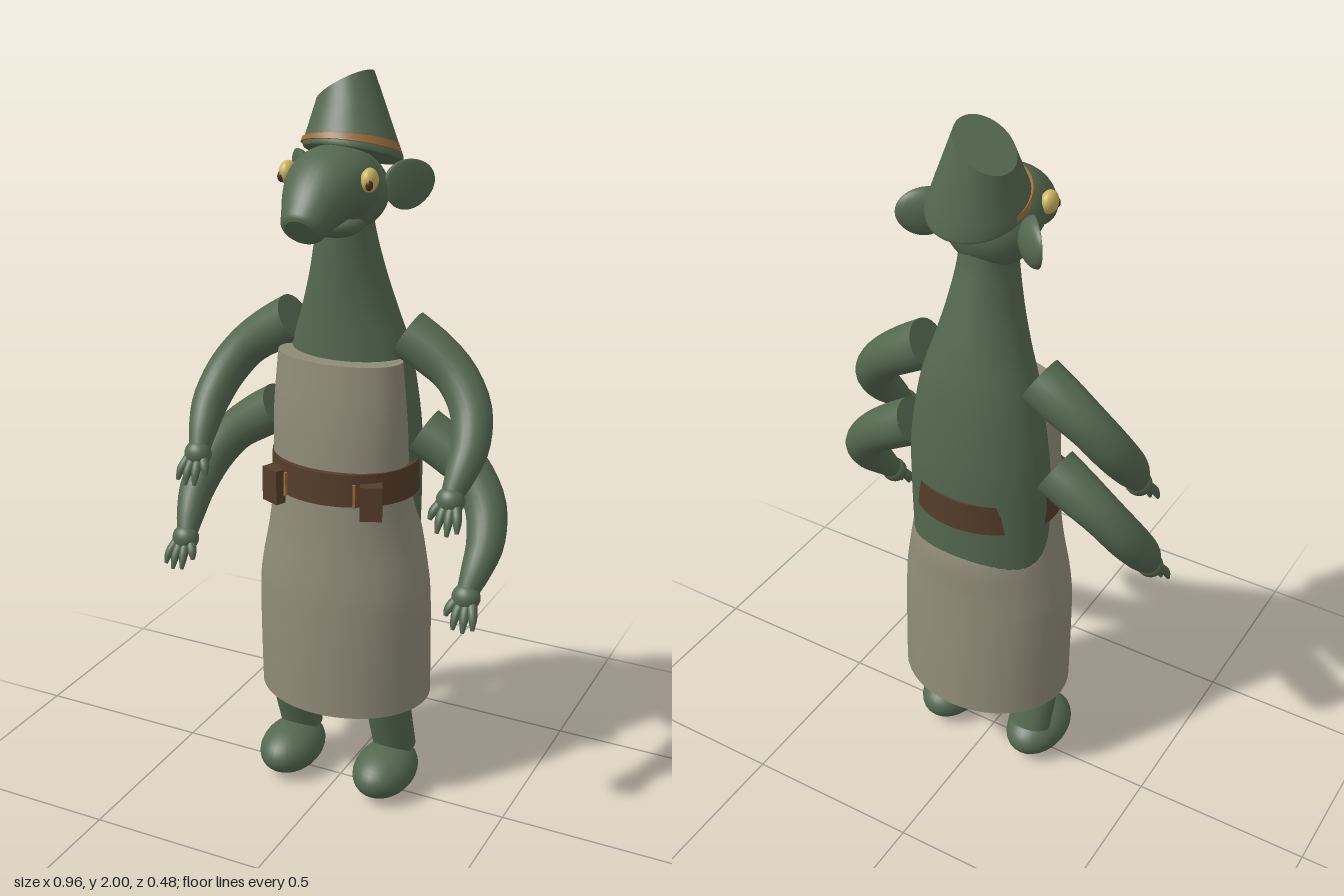
import * as THREE from 'three';

const mat = (name, color) => {
  const m = new THREE.MeshStandardMaterial({ color });
  m.name = name;
  return m;
};
const V = (x, y, z) => new THREE.Vector3(x, y, z);

// Smooth resampling of rows of numbers
function resample(rows, steps) {
  const size = rows[0].length;
  const curve = new THREE.CubicInterpolant(rows.map((_, i) => i), rows.flat(), size);
  const out = [];
  for (let i = 0; i <= steps; i++) out.push(Array.from(curve.evaluate((i / steps) * (rows.length - 1))));
  return out;
}

// Ellipse ring; u x v must point along the loft
function ring(c, u, v, n = 32) {
  return Array.from({ length: n }, (_, j) => {
    const a = (j / n) * Math.PI * 2;
    return c.clone().addScaledVector(u, Math.cos(a)).addScaledVector(v, Math.sin(a));
  });
}

// Skin over rings, with flat, sharp-edged caps
function loft(rings) {
  const n = rings[0].length, pos = [], idx = [];
  rings.forEach(r => r.forEach(p => pos.push(p.x, p.y, p.z)));
  for (let i = 0; i < rings.length - 1; i++) {
    for (let j = 0; j < n; j++) {
      const a = i * n + j, b = i * n + (j + 1) % n;
      idx.push(a, b, a + n, b, b + n, a + n);
    }
  }
  for (const end of [false, true]) {
    const r = end ? rings[rings.length - 1] : rings[0];
    const base = pos.length / 3;
    const c = r.reduce((s, p) => s.add(p), V(0, 0, 0)).divideScalar(n);
    [c, ...r].forEach(p => pos.push(p.x, p.y, p.z));
    for (let j = 0; j < n; j++) {
      const a = base + 1 + j, b = base + 1 + (j + 1) % n;
      idx.push(base, end ? a : b, end ? b : a);
    }
  }
  const g = new THREE.BufferGeometry();
  g.setAttribute('position', new THREE.Float32BufferAttribute(pos, 3));
  g.setIndex(idx);
  g.computeVertexNormals();
  return g;
}

// Upright loft from rows of [y, half width, front z, back z]
function upright(rows, steps) {
  return loft(resample(rows, steps).map(([y, rx, zf, zb]) =>
    ring(V(0, y, (zf + zb) / 2), V(0, 0, (zf - zb) / 2), V(rx, 0, 0), 48)));
}

// Tube from rows of [x, y, z, radius along ref, other radius]
function tube(rows, ref, steps = 20, n = 24) {
  const s = resample(rows, steps);
  const p = s.map(r => V(r[0], r[1], r[2]));
  return loft(s.map((r, i) => {
    const t = p[Math.min(i + 1, steps)].clone().sub(p[Math.max(i - 1, 0)]).normalize();
    const v = ref.clone().addScaledVector(t, -ref.dot(t)).normalize();
    const u = v.clone().cross(t);
    return ring(p[i], u.multiplyScalar(r[4]), v.multiplyScalar(r[3]), n);
  }));
}

export function createModel() {
  const model = new THREE.Group();
  model.name = 'fourArmedCreature';
  const skin = mat('greenSkin', 0x54684f);
  const cloth = mat('apronCloth', 0x8f8b78);
  const leather = mat('brownLeather', 0x553d2a);
  const tan = mat('tanBand', 0x9c6c3a);
  const yellow = mat('yellowEye', 0xcbb45c);
  const dark = mat('darkPupil', 0x4a2f1a);

  const add = (name, geo, material, parent = model) => {
    const m = new THREE.Mesh(geo, material);
    m.name = name;
    parent.add(m);
    return m;
  };
  const ball = (name, c, r, material, parent) => {
    const m = add(name, new THREE.SphereGeometry(1, 28, 20), material, parent);
    m.position.set(...c);
    m.scale.set(...r);
    return m;
  };

  // Torso and neck
  add('body', upright([
    [0.32, 0.18, 0.06, -0.15], [0.6, 0.2, 0.07, -0.19], [0.8, 0.2, 0.065, -0.2],
    [0.95, 0.2, 0.065, -0.204], [1.1, 0.194, 0.06, -0.205], [1.28, 0.165, 0.055, -0.19],
    [1.4, 0.127, 0.053, -0.166], [1.5, 0.098, 0.054, -0.14], [1.61, 0.075, 0.055, -0.112],
    [1.68, 0.07, 0.05, -0.1]], 40), skin);

  // Apron: full skirt below, its upper back sinks into the body to leave a bib
  add('apron', upright([
    [0.29, 0.245, 0.165, -0.24], [0.45, 0.246, 0.164, -0.23], [0.6, 0.245, 0.16, -0.218],
    [0.68, 0.236, 0.155, -0.212], [0.78, 0.217, 0.145, -0.206], [0.86, 0.203, 0.138, -0.18],
    [0.96, 0.193, 0.13, -0.14], [1.12, 0.188, 0.118, -0.11], [1.28, 0.175, 0.098, -0.09]], 40), cloth);

  // Belt with pouches and thin clasps
  add('belt', upright([[0.91, 0.206, 0.146, -0.212], [1.0, 0.203, 0.144, -0.212]], 1), leather);
  for (const s of [-1, 1]) {
    const pouch = add('beltPouch', new THREE.BoxGeometry(0.058, 0.095, 0.045), leather);
    pouch.position.set(s * 0.14, 0.928, 0.107);
    pouch.rotation.y = s * 0.4;
    const clasp = add('beltClasp', new THREE.BoxGeometry(0.007, 0.065, 0.008), tan);
    clasp.position.set(s * 0.1, 0.942, 0.128);
    clasp.rotation.y = s * 0.35;
  }

  // Head, jaw and drooping snout
  ball('head', [0, 1.71, -0.015], [0.12, 0.105, 0.1], skin);
  ball('jaw', [0, 1.637, 0.035], [0.08, 0.038, 0.068], skin);
  add('snout', tube([
    [0, 1.71, -0.05, 0.1, 0.09], [0, 1.728, 0.02, 0.115, 0.1], [0, 1.732, 0.08, 0.107, 0.093],
    [0, 1.706, 0.14, 0.088, 0.079], [0, 1.672, 0.19, 0.066, 0.06], [0, 1.656, 0.215, 0.055, 0.05],
    [0, 1.65, 0.224, 0.04, 0.037]], V(1, 0, 0), 24, 32), skin);

  // Ears and eyes
  for (const s of [-1, 1]) {
    const earGeo = new THREE.SphereGeometry(1, 28, 20);
    const p = earGeo.attributes.position;
    for (let i = 0; i < p.count; i++) { // hollow the front, thin the tip
      const x = p.getX(i) * s, z = p.getZ(i);
      p.setXYZ(i, p.getX(i) * 0.07, p.getY(i) * (0.063 - 0.006 * x), (z > 0 ? z * 0.2 : z) * 0.036 * (1 - 0.4 * x));
    }
    earGeo.computeVertexNormals();
    const ear = add('ear', earGeo, skin);
    ear.position.set(s * 0.157, 1.727, -0.072);
    ear.rotation.set(0, s * 0.85, s * 0.25);
    ball('eye', [s * 0.112, 1.758, 0.07], [0.021, 0.03, 0.029], yellow);
    ball('pupil', [s * 0.12, 1.75, 0.09], [0.01, 0.014, 0.01], dark);
  }

  // Lopsided hat: tilted round base to a slanted disc on top
  const baseU = V(0, 0.047, 0.128), baseV = V(0.132, 0, 0), baseC = V(0, 1.787, -0.073);
  const topU = V(0, 0.014, 0.076), topV = V(0.073, 0.044, 0), topC = V(-0.033, 1.952, -0.095);
  const hatRing = (t, grow = 1, dz = 0) => ring(
    baseC.clone().lerp(topC, t).add(V(0, 0, dz)),
    baseU.clone().lerp(topU, t).multiplyScalar(grow),
    baseV.clone().lerp(topV, t).multiplyScalar(grow), 48);
  add('hat', loft([0, 0.06, 0.25, 0.5, 0.75, 1].map((t, i) => hatRing(t, i ? 1 : 0.96))), skin);
  add('hatBand', loft([hatRing(0.1, 1.02, 0.007), hatRing(0.2, 1.02, 0.007)]), tan);

  // Two pairs of arms; the lower pair is set lower and wider
  for (const s of [-1, 1]) {
    for (const [name, dx, dy] of [['upper', 0, 0], ['lower', 0.05, -0.26]]) {
      const arm = new THREE.Group();
      arm.name = name + 'Arm';
      arm.position.set(s * dx, dy, 0);
      model.add(arm);
      add('sleeve', tube([
        [s * 0.165, 1.342, -0.058, 0.066, 0.066], [s * 0.235, 1.3, -0.06, 0.063, 0.063],
        [s * 0.305, 1.247, -0.052, 0.057, 0.057], [s * 0.358, 1.175, -0.022, 0.055, 0.055],
        [s * 0.38, 1.1, 0.03, 0.05, 0.05], [s * 0.376, 1.04, 0.08, 0.04, 0.04],
        [s * 0.368, 0.995, 0.115, 0.029, 0.029]], V(s * 0.4, 0.4, 0.8)), skin, arm);
      ball('palm', [s * 0.368, 0.982, 0.125], [0.038, 0.036, 0.034], skin, arm);
      for (const [f, len] of [[-0.036, 0.6], [-0.013, 1], [0.011, 1.05], [0.033, 0.9]]) {
        const x = 0.368 + f;
        add('finger', tube([
          [s * (0.368 + f * 0.6), 0.975, 0.135, 0.014, 0.014],
          [s * x, 0.975 - 0.033 * len, 0.135 + 0.028 * len, 0.012, 0.012],
          [s * (x + f * 0.15), 0.975 - 0.066 * len, 0.135 + 0.042 * len, 0.005, 0.005]],
        V(1, 0, 0), 6, 10), skin, arm);
      }
    }

    // Legs and rounded feet
    add('leg', tube([
      [s * 0.148, 0.125, -0.046, 0.063, 0.052], [s * 0.148, 0.3, 0.008, 0.066, 0.054],
      [s * 0.145, 0.42, 0.02, 0.07, 0.06]], V(1, 0, 0), 8), skin);
    ball('foot', [s * 0.148, 0.07, 0.013], [0.086, 0.07, 0.123], skin);
  }
  return model;
}
